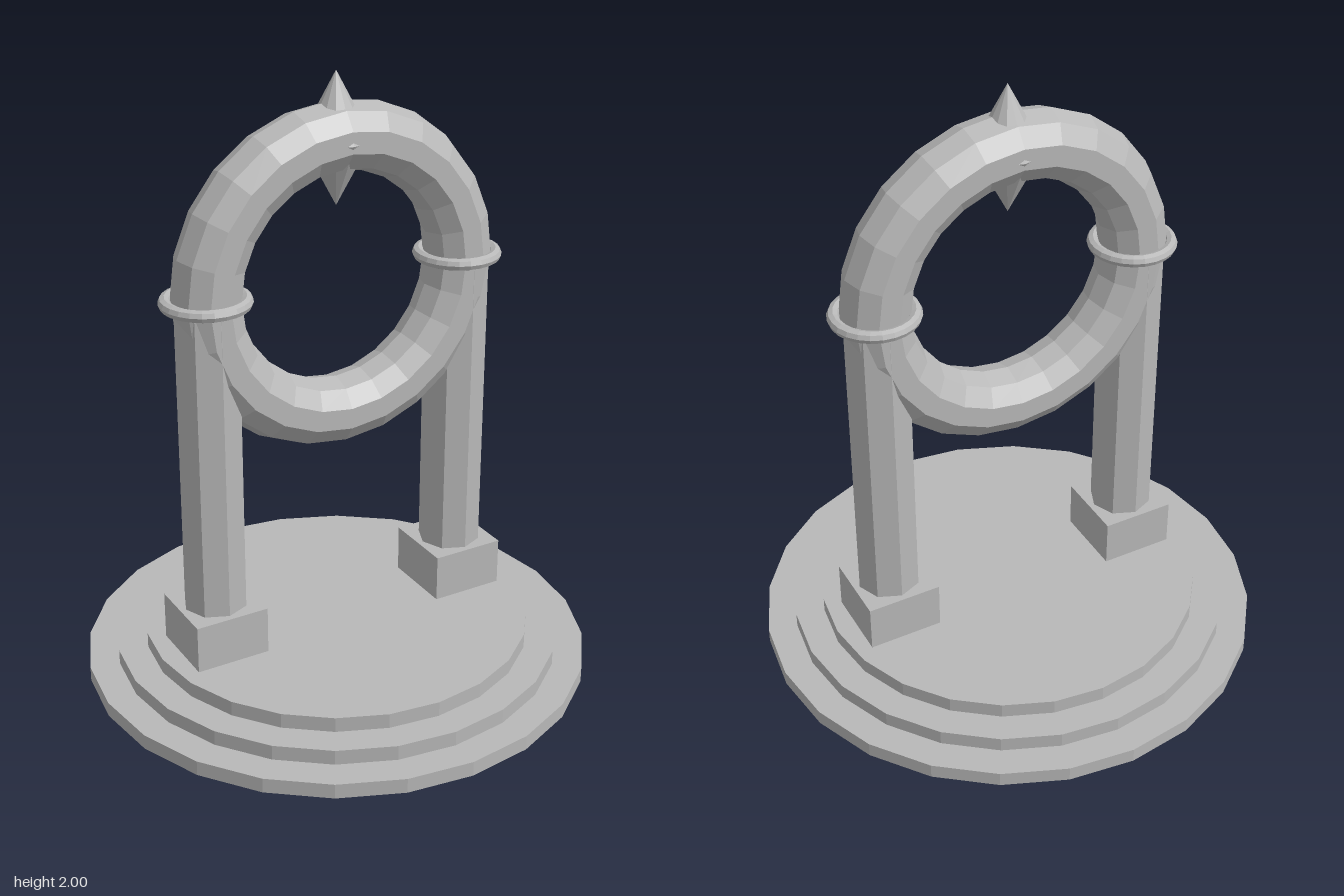
import * as THREE from 'three';

export function createModel() {
  const group = new THREE.Group();
  const stone = new THREE.MeshStandardMaterial({ color: 0xb8b8b8, flatShading: true });
  stone.name = 'grey stone';

  function add(name, geometry, x, y, z = 0) {
    const mesh = new THREE.Mesh(geometry, stone);
    mesh.name = name;
    mesh.position.set(x, y, z);
    group.add(mesh);
    return mesh;
  }

  // Three round steps, each 0.05 high
  [0.84, 0.742, 0.645].forEach((radius, i) => {
    add('step' + (i + 1), new THREE.CylinderGeometry(radius, radius, 0.05, 24), 0, 0.025 + i * 0.05);
  });

  // Mirrored plinths, octagonal columns and collars
  for (const [side, sx] of [['left', 1], ['right', -1]]) {
    const x = sx * 0.45;
    add(side + 'Plinth', new THREE.BoxGeometry(0.25, 0.16, 0.25), x, 0.23);
    add(side + 'Column', new THREE.CylinderGeometry(0.105, 0.105, 1.04, 8), x, 0.83);
    const collar = add(side + 'Collar', new THREE.TorusGeometry(0.125, 0.02, 8, 24), x, 1.35);
    collar.rotation.x = Math.PI / 2;
  }

  // Upright ring
  add('ring', new THREE.TorusGeometry(0.45, 0.11, 10, 24), 0, 1.35);

  // Double-pointed spike through the top of the ring
  add('upperSpike', new THREE.ConeGeometry(0.11, 0.21, 12), 0, 1.895);
  const lower = add('lowerSpike', new THREE.ConeGeometry(0.11, 0.21, 12), 0, 1.685);
  lower.rotation.x = Math.PI;

  return group;
}
